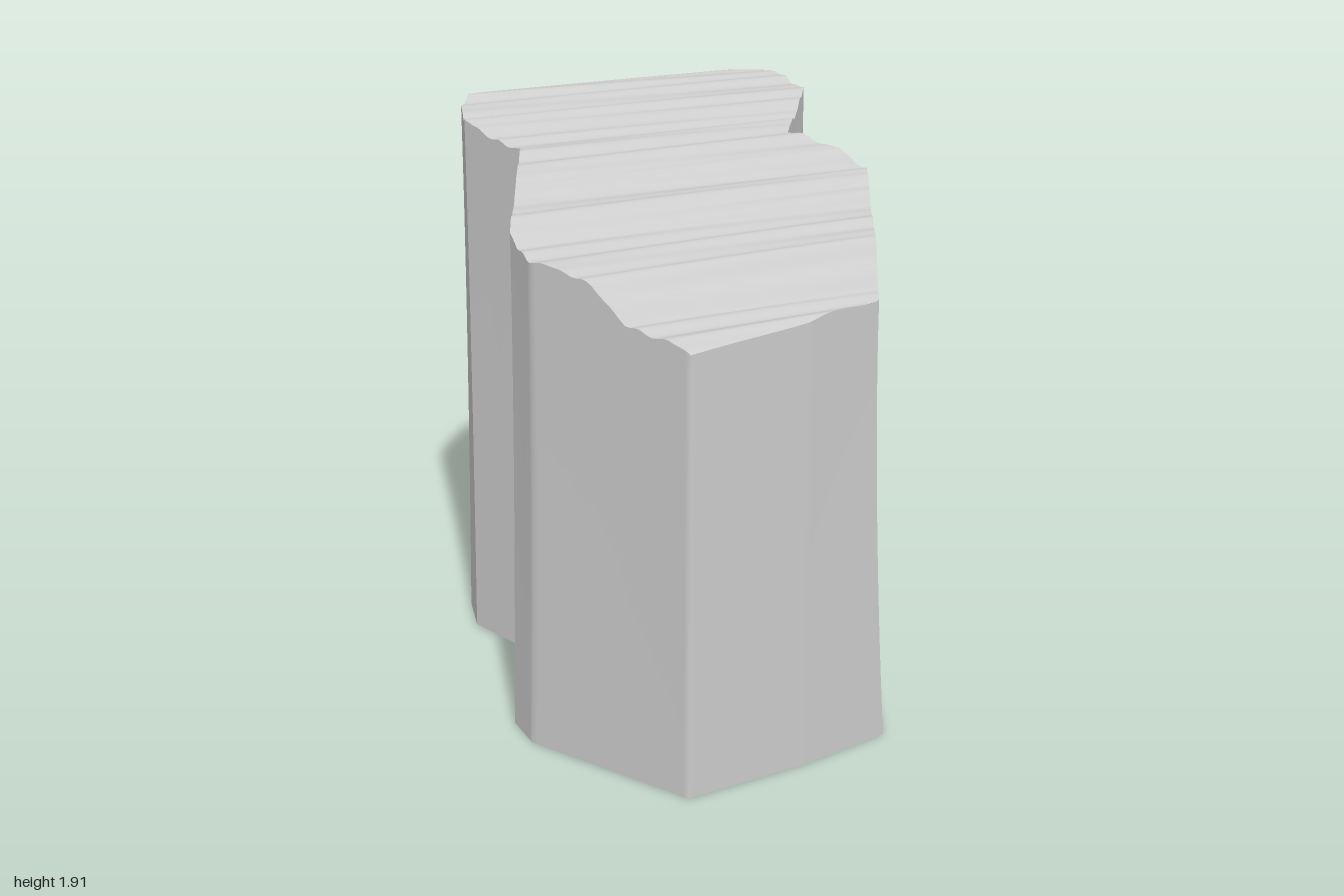
import * as THREE from 'three';

// Outline corners, anticlockwise from the front tip: base x, base z, top x, top z
const corners = [
  [0.03, 1.0, 0.03, 1.0], [0.40, 0.82, 0.38, 0.83], [0.675, 0.645, 0.60, 0.68],
  [0.70, 0.03, 0.645, 0.04], [0.43, -0.13, 0.41, -0.13], [0.55, -0.48, 0.50, -0.48],
  [0.50, -0.64, 0.44, -0.63], [0.20, -1.0, 0.13, -1.0], [-0.05, -0.99, -0.05, -0.985],
  [-0.57, -0.87, -0.55, -0.865], [-0.70, -0.36, -0.67, -0.36], [-0.67, -0.19, -0.65, -0.2],
  [-0.485, 0.01, -0.46, 0.01], [-0.51, 0.52, -0.48, 0.52], [-0.45, 0.65, -0.42, 0.66],
];

// Stepped strata profile: position across the ridges, height
const strata = [
  [-1.2, 1.86], [-0.72, 1.86], [-0.66, 1.89], [-0.58, 1.895], [-0.53, 1.88], [-0.44, 1.865],
  [-0.36, 1.855], [-0.30, 1.845], [-0.23, 1.81], [-0.14, 1.80], [-0.08, 1.80], [0.04, 1.77],
  [0.13, 1.745], [0.18, 1.70], [0.30, 1.69], [0.37, 1.665], [0.43, 1.62], [0.58, 1.60],
  [0.68, 1.58], [0.76, 1.52], [0.82, 1.455], [0.94, 1.44], [1.03, 1.40], [1.3, 1.36],
];

// Cracks on the right flank, as paths of z, y
const cracks = [
  [[0.28, 0.2], [0.24, 0.5], [0.18, 0.9], [0.1, 1.2], [0.04, 1.6]],
  [[-0.04, 1.75], [-0.08, 1.4], [-0.12, 1.1], [-0.14, 0.7], [-0.18, 0.45]],
  [[0.7, 1.02], [0.3, 1.05], [0, 1.08], [-0.3, 1.16], [-0.6, 1.22], [-1, 1.27]],
  [[0.15, 0.76], [-0.1, 0.7], [-0.5, 0.66], [-1, 0.61]],
  [[0.65, 0.28], [0.3, 0.31], [0, 0.34], [-0.3, 0.35], [-0.7, 0.42]],
  [[0.05, 0.76], [-0.02, 1.1]],
  [[-0.06, 1.58], [-0.4, 1.56], [-0.7, 1.5], [-1, 1.46]],
  [[-0.47, 1.4], [-0.56, 1.2]],
  [[-0.84, 0.15], [-0.87, 0.45], [-0.93, 0.75], [-1, 1.05]],
  [[-0.86, 0.5], [-0.93, 0.65], [-1, 0.72]],
];

const lerp = THREE.MathUtils.lerp;

function interpolate(points, t) {
  let i = 1;
  while (i < points.length - 1 && points[i][0] < t) i++;
  const [a, b] = [points[i - 1], points[i]];
  return lerp(a[1], b[1], THREE.MathUtils.clamp((t - a[0]) / (b[0] - a[0]), 0, 1));
}

// Height of the broken top: slanting strata, cut by a rounded bevel at the back
function topHeight(x, z) {
  const t = z + x * (0.26 + 0.1 * z);
  const ripple = 0.005 * Math.sin(47 * t + 2 * x) + 0.003 * Math.sin(83 * t);
  const layered = interpolate(strata, t) + 0.04 * x + ripple;
  const back = Math.max(0, -z - 0.68);
  const bevel = 1.91 - 4.4 * back * back + 0.15 * Math.min(x, 0);
  return back > 0 ? Math.min(layered, bevel) : layered;
}

// Depth of the cracks at a point of the right flank
function crackDepth(z, y) {
  const wz = z + 0.004 * Math.sin(61 * y), wy = y + 0.005 * Math.sin(73 * z);
  let best = 1;
  for (const path of cracks) {
    for (let i = 1; i < path.length; i++) {
      const [az, ay] = path[i - 1], dz = path[i][0] - az, dy = path[i][1] - ay;
      const s = THREE.MathUtils.clamp(((wz - az) * dz + (wy - ay) * dy) / (dz * dz + dy * dy), 0, 1);
      best = Math.min(best, Math.hypot(wz - az - s * dz, wy - ay - s * dy));
    }
  }
  const rough = 0.7 + 0.3 * Math.sin(110 * z + 40 * y);
  return 0.016 * rough * Math.exp(-((best / 0.012) ** 2));
}

function gridGeometry(columns, rows, point) {
  const positions = [], index = [];
  for (let i = 0; i <= columns; i++) {
    for (let j = 0; j <= rows; j++) {
      positions.push(...point(i, j / rows));
      if (i < columns && j < rows) {
        const a = i * (rows + 1) + j, b = a + rows + 1;
        index.push(a, b, b + 1, a, b + 1, a + 1);
      }
    }
  }
  const geometry = new THREE.BufferGeometry();
  geometry.setAttribute('position', new THREE.Float32BufferAttribute(positions, 3));
  geometry.setIndex(index);
  geometry.computeVertexNormals();
  return geometry;
}

// One side panel running over consecutive corners, soft at the corners inside it
function sidePanel(ids, cracked) {
  const columns = [];
  for (let k = 0; k < ids.length - 1; k++) {
    const a = corners[ids[k]], b = corners[ids[k + 1]];
    const dx = b[0] - a[0], dz = b[1] - a[1], length = Math.hypot(dx, dz);
    const n = Math.ceil(length / (cracked ? 0.012 : 0.02));
    for (let i = k ? 1 : 0; i <= n; i++) {
      const p = a.map((value, c) => lerp(value, b[c], i / n));
      columns.push({ p, nx: -dz / length, nz: dx / length, edge: i === 0 || i === n });
    }
  }
  return gridGeometry(columns.length - 1, cracked ? 145 : 24, (i, v) => {
    const { p, nx, nz, edge } = columns[i];
    const y = v * topHeight(p[2], p[3]);
    const lean = 1 - (1 - v) ** 1.6;
    const depth = cracked && !edge && v > 0 && v < 1 ? crackDepth(p[1], y) : 0;
    return [lerp(p[0], p[2], lean) - nx * depth, y, lerp(p[1], p[3], lean) - nz * depth];
  });
}

// Broken top, as rows from left outline to right outline
function topSurface() {
  const chain = (ids) => ids.map((i) => [corners[i][3], corners[i][2]]);
  const right = chain([7, 6, 5, 4, 3, 2, 1, 0]);
  const left = chain([7, 8, 9, 10, 11, 12, 13, 14, 0]);
  return gridGeometry(40, 260, (i, v) => {
    const z = lerp(1, -1, v);
    const x = lerp(interpolate(left, z), interpolate(right, z), i / 40);
    return [x, topHeight(x, z), z];
  });
}

export function createModel() {
  const group = new THREE.Group();
  group.name = 'rockPillar';
  const material = new THREE.MeshStandardMaterial({ color: 0xcccccc, side: THREE.DoubleSide });
  const add = (name, geometry) => {
    const mesh = new THREE.Mesh(geometry, material);
    mesh.name = name;
    group.add(mesh);
  };

  add('brokenTop', topSurface());

  // Sides, with hard edges between panels
  add('frontFace', sidePanel([13, 14, 0, 1, 2], false));
  add('crackedFrontFlank', sidePanel([2, 3], true));
  add('crackedNotch', sidePanel([3, 4], true));
  add('crackedRearFlank', sidePanel([4, 5, 6, 7], true));
  add('backFace', sidePanel([7, 8, 9], false));
  add('leftRearFace', sidePanel([9, 10, 11], false));
  add('leftNotch', sidePanel([11, 12], false));
  add('leftFrontFace', sidePanel([12, 13], false));

  // Flat underside
  const outline = new THREE.Shape(corners.map(([x, z]) => new THREE.Vector2(x, z)));
  add('underside', new THREE.ShapeGeometry(outline).rotateX(Math.PI / 2));
  return group;
}
